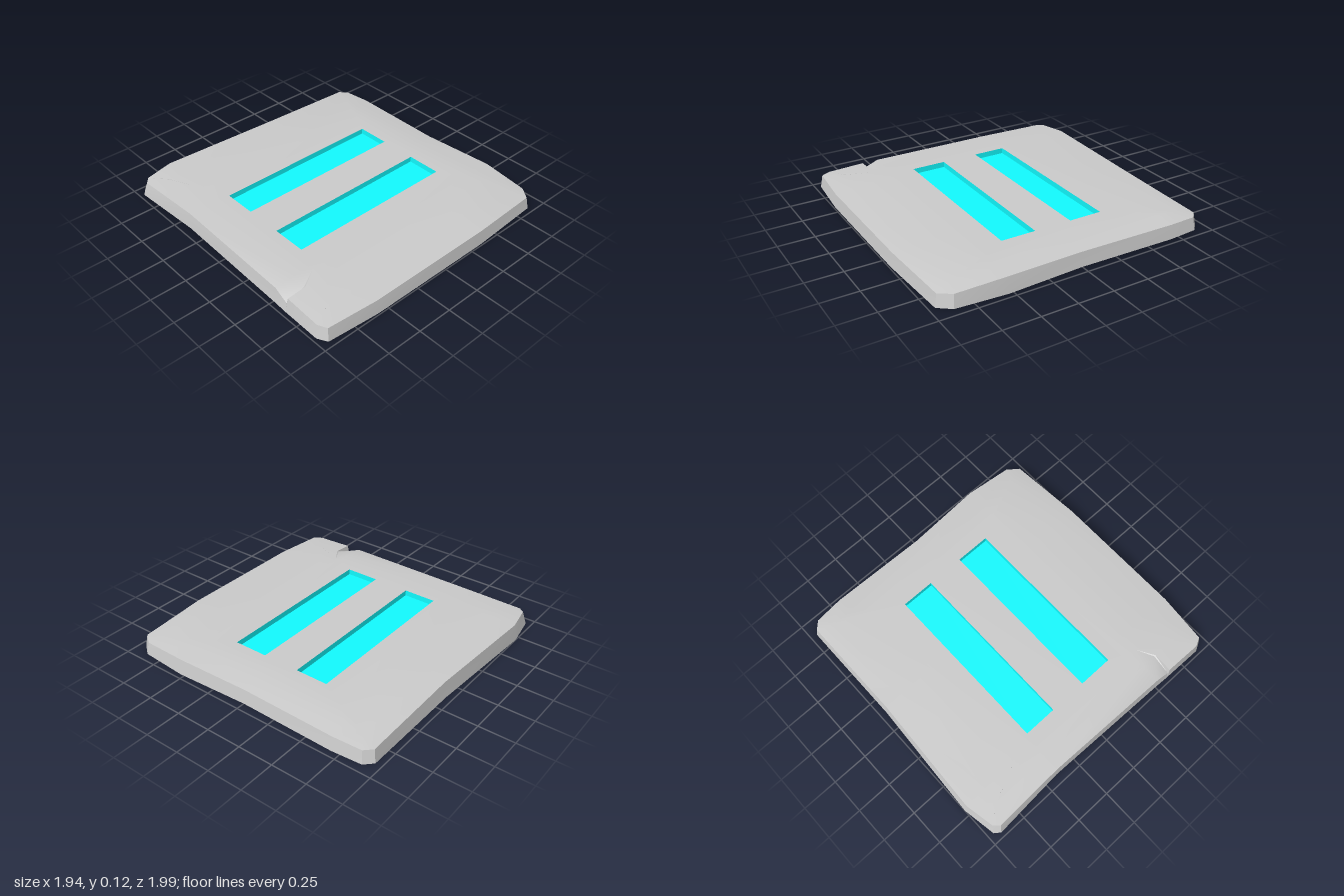
import * as THREE from 'three';
import { mergeGeometries, toCreasedNormals } from 'three/addons/utils/BufferGeometryUtils.js';

const TOP = 0.122;
const SLOT = { x0: -0.63, x1: 0.6, depth: 0.04, rows: [[-0.38, -0.145], [0.12, 0.365]] };

// Worn outline, clockwise from above: foot x, foot z, rim x, rim z, rim height
const OUTLINE = [
  [-0.97, -0.92, -0.945, -0.90, 0.10],
  [-0.94, -0.96, -0.91, -0.94, 0.105],
  [-0.71, -1.00, -0.71, -0.98, 0.112],
  [0.13, -0.955, 0.13, -0.94, 0.112],
  [0.885, -0.955, 0.875, -0.94, 0.09],
  [0.94, -0.90, 0.925, -0.89, 0.09],
  [0.955, -0.69, 0.94, -0.69, 0.096],
  [0.94, 0.0, 0.925, 0.0, 0.097],
  [0.965, 0.53, 0.95, 0.53, 0.108],
  [0.94, 0.875, 0.925, 0.865, 0.088],
  [0.875, 0.96, 0.865, 0.945, 0.085],
  [0.35, 0.99, 0.35, 0.977, 0.098],
  [-0.58, 0.99, -0.58, 0.977, 0.096],
  [-0.94, 0.96, -0.93, 0.945, 0.09],
  [-0.975, 0.895, -0.96, 0.885, 0.092],
  // chipped notch in the edge
  [-0.97, 0.625, -0.955, 0.625, 0.104],
  [-0.97, 0.615, -0.957, 0.615, 0.06],
  [-0.965, 0.51, -0.952, 0.51, 0.106],
  [-0.94, -0.40, -0.93, -0.40, 0.115],
];

const clamp = (v, m) => THREE.MathUtils.clamp(v, -m, m);
const vec = (x, y, z) => new THREE.Vector3(x, y, z);

// Skin between consecutive closed rings of points
function loft(rings) {
  const out = [];
  const tri = (a, b, c) => {
    const area = b.clone().sub(a).cross(c.clone().sub(a)).length();
    if (area > 1e-7) for (const p of [a, b, c]) out.push(p.x, p.y, p.z);
  };
  for (let r = 0; r + 1 < rings.length; r++) {
    const lo = rings[r], hi = rings[r + 1];
    lo.forEach((a, i) => {
      const j = (i + 1) % lo.length;
      tri(a, hi[i], lo[j]);
      tri(lo[j], hi[i], hi[j]);
    });
  }
  const g = new THREE.BufferGeometry();
  g.setAttribute('position', new THREE.Float32BufferAttribute(out, 3));
  return g;
}

// Flat face reduced to bare positions so it can join the lofted skin
function flatFace(shape, angle, y) {
  const g = new THREE.ShapeGeometry(shape).rotateX(angle).translate(0, y, 0).toNonIndexed();
  g.deleteAttribute('normal');
  g.deleteAttribute('uv');
  return g;
}

function slabGeometry() {
  const foot = OUTLINE.map(([x, z]) => vec(x, 0, z));
  const rim = OUTLINE.map(([, , x, z, y]) => vec(x, y, z));
  // shoulder and plateau rings make the gently domed top
  const shoulder = rim.map((p) => vec(clamp(p.x, 0.82), TOP - (TOP - Math.max(p.y, 0.09)) * 0.4, clamp(p.z, 0.82)));
  const plateau = rim.map((p) => vec(clamp(p.x, 0.7), TOP, clamp(p.z, 0.55)));

  const inner = plateau.filter((p, i) => p.distanceTo(plateau[(i + 1) % plateau.length]) > 1e-4);
  const top = new THREE.Shape(inner.map((p) => new THREE.Vector2(p.x, -p.z)));
  for (const [z0, z1] of SLOT.rows) {
    top.holes.push(new THREE.Path([
      new THREE.Vector2(SLOT.x0, -z0), new THREE.Vector2(SLOT.x1, -z0),
      new THREE.Vector2(SLOT.x1, -z1), new THREE.Vector2(SLOT.x0, -z1),
    ]));
  }
  const base = new THREE.Shape(foot.map((p) => new THREE.Vector2(p.x, p.z)));

  return toCreasedNormals(mergeGeometries([
    loft([foot, rim, shoulder, plateau]),
    flatFace(top, -Math.PI / 2, TOP),
    flatFace(base, Math.PI / 2, 0),
  ]), 0.5);
}

// Open-topped tray lining a slot
function trayGeometry(z0, z1) {
  const g = new THREE.BoxGeometry(SLOT.x1 - SLOT.x0, SLOT.depth, z1 - z0);
  const index = Array.from(g.index.array);
  index.splice(12, 6);
  g.setIndex(index);
  return g.translate((SLOT.x0 + SLOT.x1) / 2, TOP - SLOT.depth / 2, (z0 + z1) / 2);
}

export function createModel() {
  const model = new THREE.Group();
  model.name = 'slottedStoneSlab';

  const slab = new THREE.Mesh(slabGeometry(), new THREE.MeshStandardMaterial({ color: 0xcccccc }));
  slab.name = 'stoneSlab';
  model.add(slab);

  const cyan = new THREE.MeshStandardMaterial({ color: 0x12fbff, side: THREE.DoubleSide });
  SLOT.rows.forEach(([z0, z1], i) => {
    const tray = new THREE.Mesh(trayGeometry(z0, z1), cyan);
    tray.name = i ? 'frontSlot' : 'backSlot';
    model.add(tray);
  });
  return model;
}
